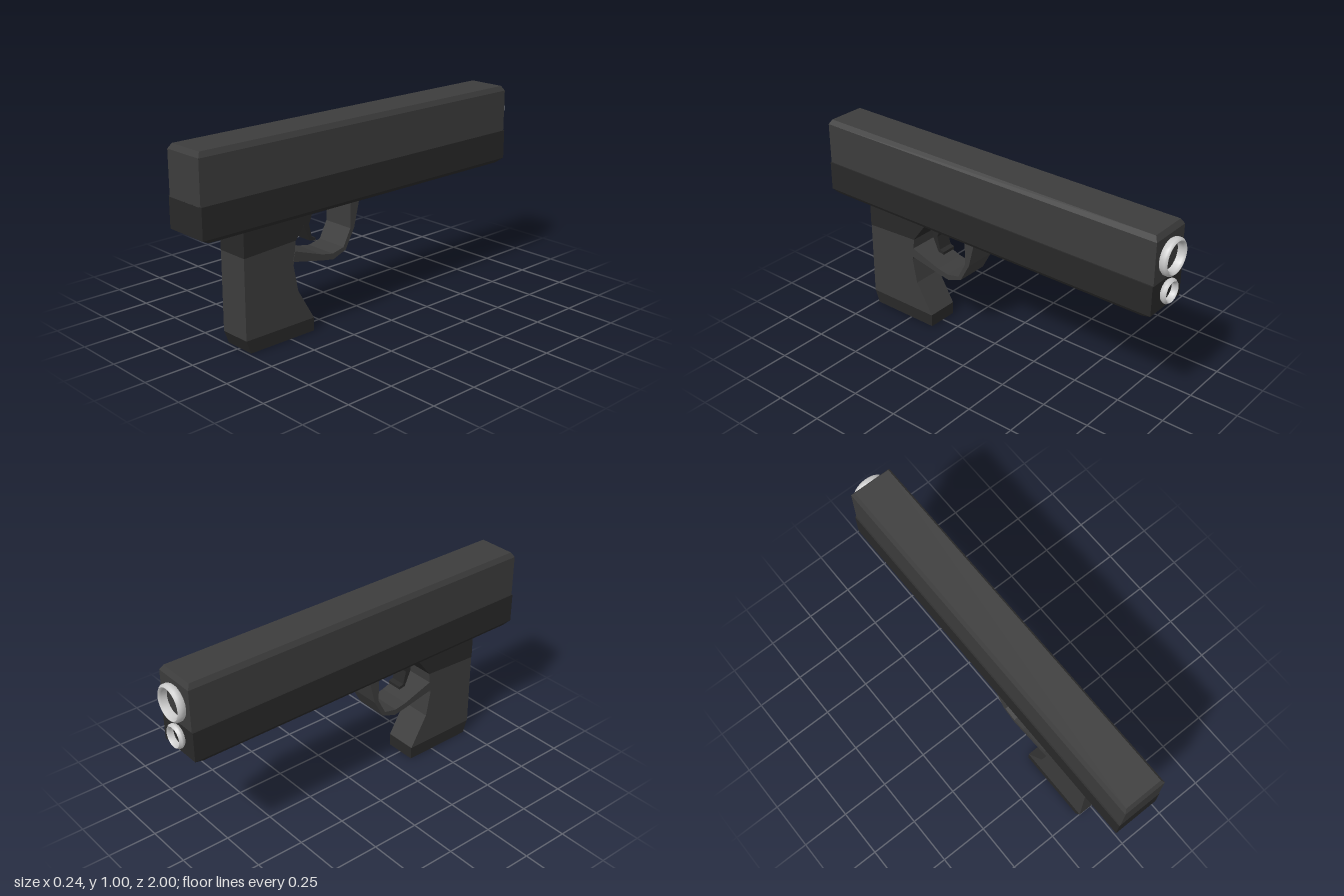
import * as THREE from 'three';

const mat = (color, extra = {}) => new THREE.MeshStandardMaterial({ color, ...extra });
const upperMat = mat(0x3c3c3c, { flatShading: true });
const darkMat = mat(0x282828, { flatShading: true });
const ringMat = mat(0xcccccc);

function add(group, name, geometry, material) {
  const mesh = new THREE.Mesh(geometry, material);
  mesh.name = name;
  group.add(mesh);
  return mesh;
}

// Side profile given as [z, y] points, extruded symmetrically across x
function profile(points, halfWidth) {
  const shape = new THREE.Shape(points.map(([z, y]) => new THREE.Vector2(z, y)));
  const g = new THREE.ExtrudeGeometry(shape, { depth: halfWidth * 2, bevelEnabled: false });
  return g.translate(0, 0, -halfWidth).rotateY(-Math.PI / 2);
}

// Stack of rectangles [y, halfWidth, zBack, zMuzzle], joined from bottom to top and capped
function stackedBox(levels) {
  const pos = [], idx = [];
  for (const [y, w, zb, zm] of levels) pos.push(-w, y, zb, w, y, zb, w, y, zm, -w, y, zm);
  for (let l = 0; l < levels.length - 1; l++) {
    for (let i = 0; i < 4; i++) {
      const a = l * 4 + i, b = l * 4 + (i + 1) % 4;
      idx.push(a, b, b + 4, a, b + 4, a + 4);
    }
  }
  const t = (levels.length - 1) * 4;
  idx.push(0, 2, 1, 0, 3, 2, t, t + 1, t + 2, t, t + 2, t + 3);
  const g = new THREE.BufferGeometry();
  g.setAttribute('position', new THREE.Float32BufferAttribute(pos, 3));
  g.setIndex(idx);
  const flat = g.toNonIndexed();
  flat.computeVertexNormals();
  return flat;
}

// Hollow collar with bevelled rims, pointing towards -z
function collar(inner, outer, length) {
  const b = 0.01;
  const pts = [
    [inner, -0.005], [inner, length - b], [inner + b, length],
    [outer - b, length], [outer, length - b], [outer, b], [outer - b, -0.005],
  ].map(([r, y]) => new THREE.Vector2(r, y));
  // profile runs the outer side upwards so the faces point outwards
  return new THREE.LatheGeometry(pts.reverse(), 24).rotateX(-Math.PI / 2);
}

export function createModel() {
  const model = new THREE.Group();
  model.name = 'model';

  // Upper body with bevelled top edges
  add(model, 'slide', stackedBox([
    [0.76, 0.112, 1, -0.96],
    [0.975, 0.112, 1, -0.96],
    [1, 0.098, 0.985, -0.945],
  ]), upperMat);

  // Lower body, slightly wider, bevelled underneath
  add(model, 'frame', stackedBox([
    [0.595, 0.108, 0.96, -0.91],
    [0.613, 0.119, 1, -0.96],
    [0.763, 0.119, 1, -0.96],
  ]), darkMat);

  // Grip in three bands
  add(model, 'gripTop', profile([
    [0.76, 0.6], [0.76, 0.465], [0.46, 0.48], [0.37, 0.6],
  ], 0.086), darkMat);
  add(model, 'grip', profile([
    [0.76, 0.465], [0.76, 0.067], [0.355, 0.067], [0.45, 0.23], [0.475, 0.36], [0.46, 0.48],
  ], 0.084), upperMat);
  add(model, 'gripBase', profile([
    [0.76, 0.067], [0.735, 0], [0.355, 0], [0.355, 0.067],
  ], 0.083), darkMat);

  // Guard loop: outer edge, then inner edge
  add(model, 'triggerGuard', profile([
    [0.06, 0.6], [0.095, 0.46], [0.15, 0.36], [0.23, 0.33], [0.3, 0.342], [0.48, 0.38],
    [0.465, 0.428], [0.3, 0.372], [0.235, 0.36], [0.165, 0.375], [0.12, 0.46], [0.12, 0.6],
  ], 0.086), upperMat);

  add(model, 'trigger', profile([
    [0.365, 0.6], [0.372, 0.52], [0.335, 0.437], [0.3, 0.43], [0.3, 0.445],
    [0.324, 0.452], [0.34, 0.52], [0.315, 0.582], [0.25, 0.6],
  ], 0.04), darkMat);

  // Collars on the end face
  const rings = [
    ['barrelRing', 0.068, 0.09, 0.04, 0.868],
    ['lowerRing', 0.042, 0.06, 0.03, 0.694],
  ];
  for (const [name, inner, outer, length, y] of rings) {
    add(model, name, collar(inner, outer, length), ringMat).position.set(0, y, -0.96);
  }
  return model;
}
